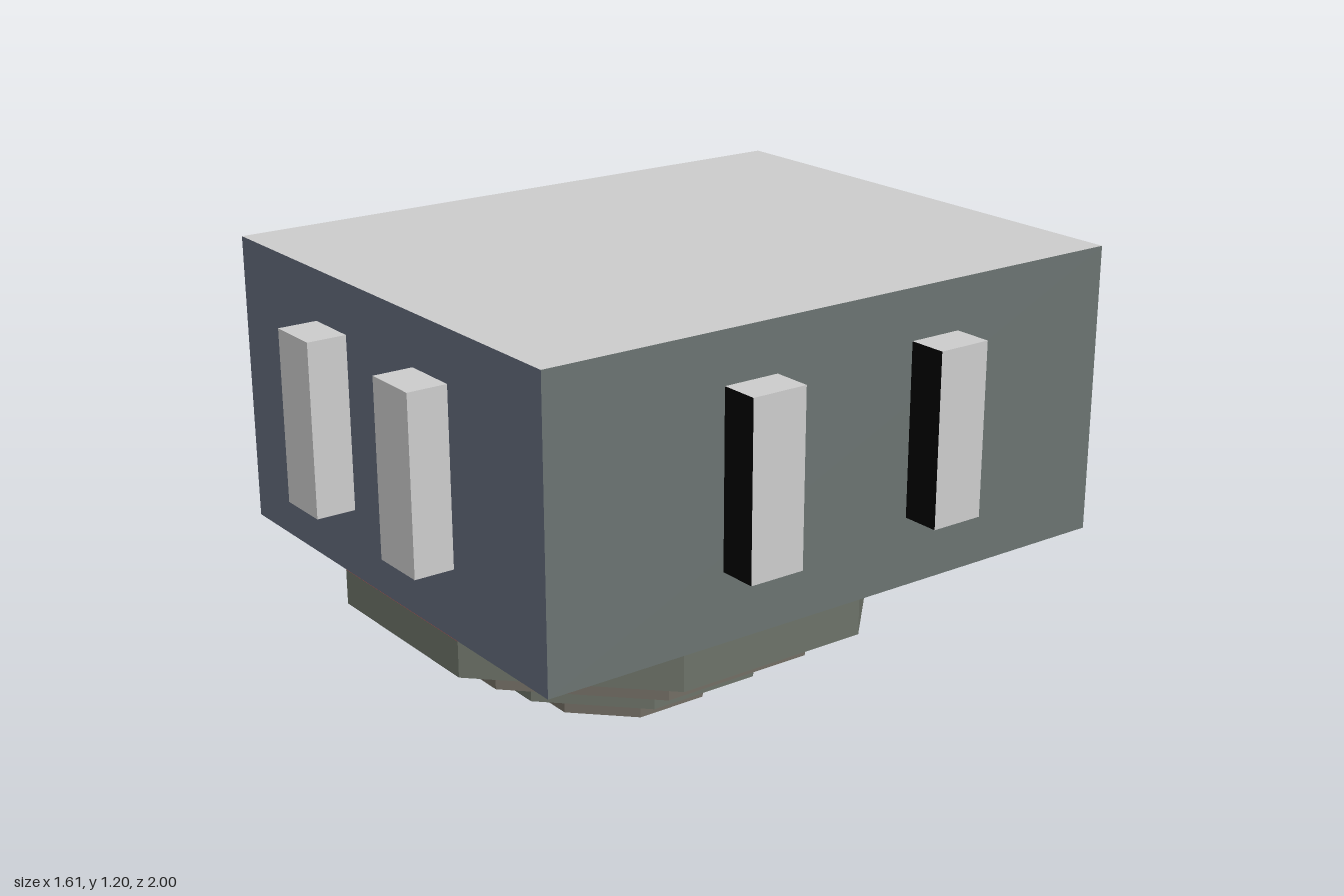
import * as THREE from 'three';

const mat = (color) => new THREE.MeshStandardMaterial({ color, flatShading: true });

export function createModel() {
  const model = new THREE.Group();
  const grey = mat(0xcccccc), black = mat(0x000000);
  const endWall = mat(0x626a7b), sideWall = mat(0x6a7371);
  const red = mat(0x943737), doorRed = mat(0xb23a3a);
  const tierStone = [mat(0x726d63), mat(0x6c7268)];
  const stairSide = mat(0x4a4c96), riser = mat(0x2020af), tread = mat(0x505672);

  // Box given by its extents along each axis
  function box(name, [x0, x1], [y0, y1], [z0, z1], material, parent = model) {
    const mesh = new THREE.Mesh(new THREE.BoxGeometry(x1 - x0, y1 - y0, z1 - z0), material);
    mesh.position.set((x0 + x1) / 2, (y0 + y1) / 2, (z0 + z1) / 2);
    mesh.name = name;
    parent.add(mesh);
    return mesh;
  }

  // Hall: walls, flat roof and the underside of its floor
  const floorY = 0.395, west = -0.76, east = 0.695, depth = 0.89;
  box('hall', [west, east], [floorY, 1.2], [-depth, depth],
    [sideWall, sideWall, grey, red, endWall, endWall]);

  // Projecting windows on the front, back and +x walls
  const windows = new THREE.Group();
  windows.name = 'windows';
  model.add(windows);
  const windowY = [0.585, 1.06];
  for (const xs of [[-0.355, -0.2], [0.13, 0.29]]) {
    box('frontWindow', xs, windowY, [depth, 1], [grey, black, grey, black, grey, grey], windows);
    box('backWindow', xs, windowY, [-1, -depth], [grey, black, grey, black, grey, grey], windows);
  }
  for (const zs of [[-0.375, -0.22], [0.215, 0.375]])
    box('sideWindow', [east, 0.803], windowY, zs, [grey, grey, grey, black, black, grey], windows);

  // Sunken octagonal pit, widening tier by tier up to the floor
  const pit = new THREE.Group();
  pit.name = 'pit';
  pit.position.set(0.015, 0, 0.212);
  model.add(pit);
  const tierY = [0, 0.1, 0.2, 0.297, floorY];
  [0.25, 0.394, 0.537, 0.679].forEach((apothem, i) => {
    const r = apothem / Math.cos(Math.PI / 8), h = tierY[i + 1] - tierY[i];
    const geo = new THREE.CylinderGeometry(r, r, h, 8, 1, false, Math.PI / 8);
    const stone = tierStone[i % 2];
    const tier = new THREE.Mesh(geo, [stone, red, i ? red : stone]);
    tier.position.y = tierY[i] + h / 2;
    tier.name = 'pitTier';
    pit.add(tier);
  });

  // Staircase climbing out of the back of the pit
  const stairs = new THREE.Group();
  stairs.name = 'stairs';
  model.add(stairs);
  const stepZ = [-0.038, -0.182, -0.325, -0.467, -0.55, -0.635, -0.717];
  for (let i = 0; i < 6; i++)
    box('step', [-0.089, 0.119], [0.06 + i * 0.0562, floorY], [stepZ[i + 1], stepZ[i]],
      [stairSide, stairSide, tread, tread, riser, riser], stairs);

  // Doorway on the -x wall: jambs, lintel and recessed door
  const doorway = new THREE.Group();
  doorway.name = 'doorway';
  model.add(doorway);
  const doorX = [-0.805, west], z0 = -0.765, z1 = -0.6, jamb = 0.03, top = 0.717, lintel = 0.05;
  box('doorJamb', doorX, [floorY, top], [z0, z0 + jamb], sideWall, doorway);
  box('doorJamb', doorX, [floorY, top], [z1 - jamb, z1], sideWall, doorway);
  box('doorLintel', doorX, [top - lintel, top], [z0 + jamb, z1 - jamb], sideWall, doorway);
  box('door', [-0.785, west], [floorY, top - lintel], [z0 + jamb, z1 - jamb], doorRed, doorway);

  return model;
}
